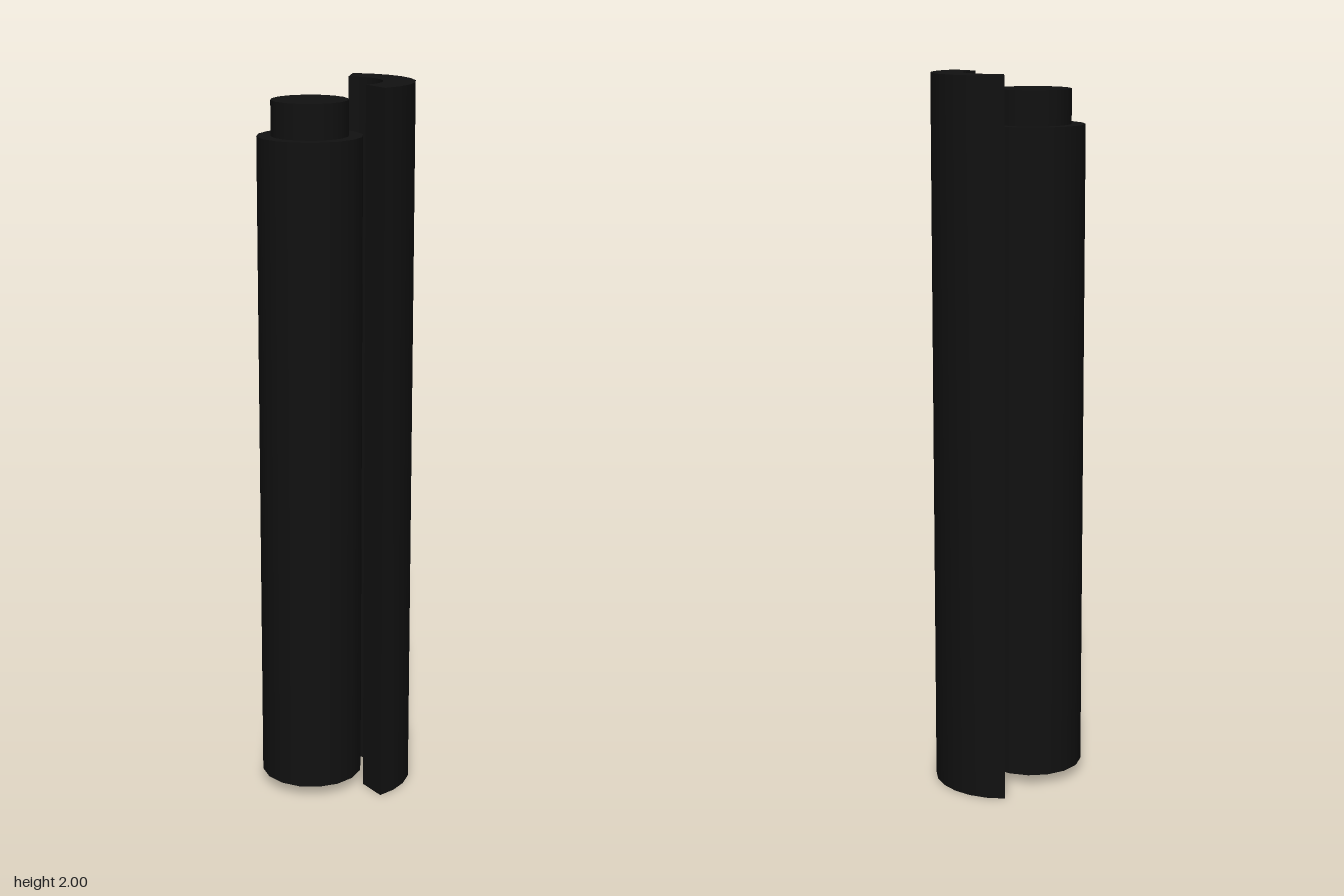
import * as THREE from 'three';
import { toCreasedNormals } from 'three/addons/utils/BufferGeometryUtils.js';

export function createModel() {
  const group = new THREE.Group();
  const material = new THREE.MeshStandardMaterial({ color: 0x111111 });

  const add = (name, geometry, x, y, z) => {
    const mesh = new THREE.Mesh(geometry, material);
    mesh.name = name;
    mesh.position.set(x, y, z);
    group.add(mesh);
  };

  // Upright sixteen-sided cylinder spanning bottom to top
  const addCylinder = (name, radius, bottom, top) => add(name,
    new THREE.CylinderGeometry(radius, radius, top - bottom, 16),
    -0.071, (bottom + top) / 2, 0.018);

  addCylinder('body', 0.143, 0.03, 1.86);
  addCylinder('cap', 0.105, 1.86, 1.955);

  // Curved shell standing beside the body: a thick arc extruded over the full height
  const segments = 9;
  const start = THREE.MathUtils.degToRad(-73);
  const end = THREE.MathUtils.degToRad(64.5);
  const arc = (radius) => Array.from({ length: segments + 1 }, (_, i) => {
    const a = start + (end - start) * i / segments;
    return new THREE.Vector2(radius * Math.cos(a), radius * Math.sin(a));
  });
  const section = new THREE.Shape([...arc(0.195), ...arc(0.108).reverse()]);
  const shell = new THREE.ExtrudeGeometry(section, { depth: 2, bevelEnabled: false });
  shell.rotateX(Math.PI / 2);
  add('shell', toCreasedNormals(shell, 0.6), 0.019, 2, 0.003);

  return group;
}
